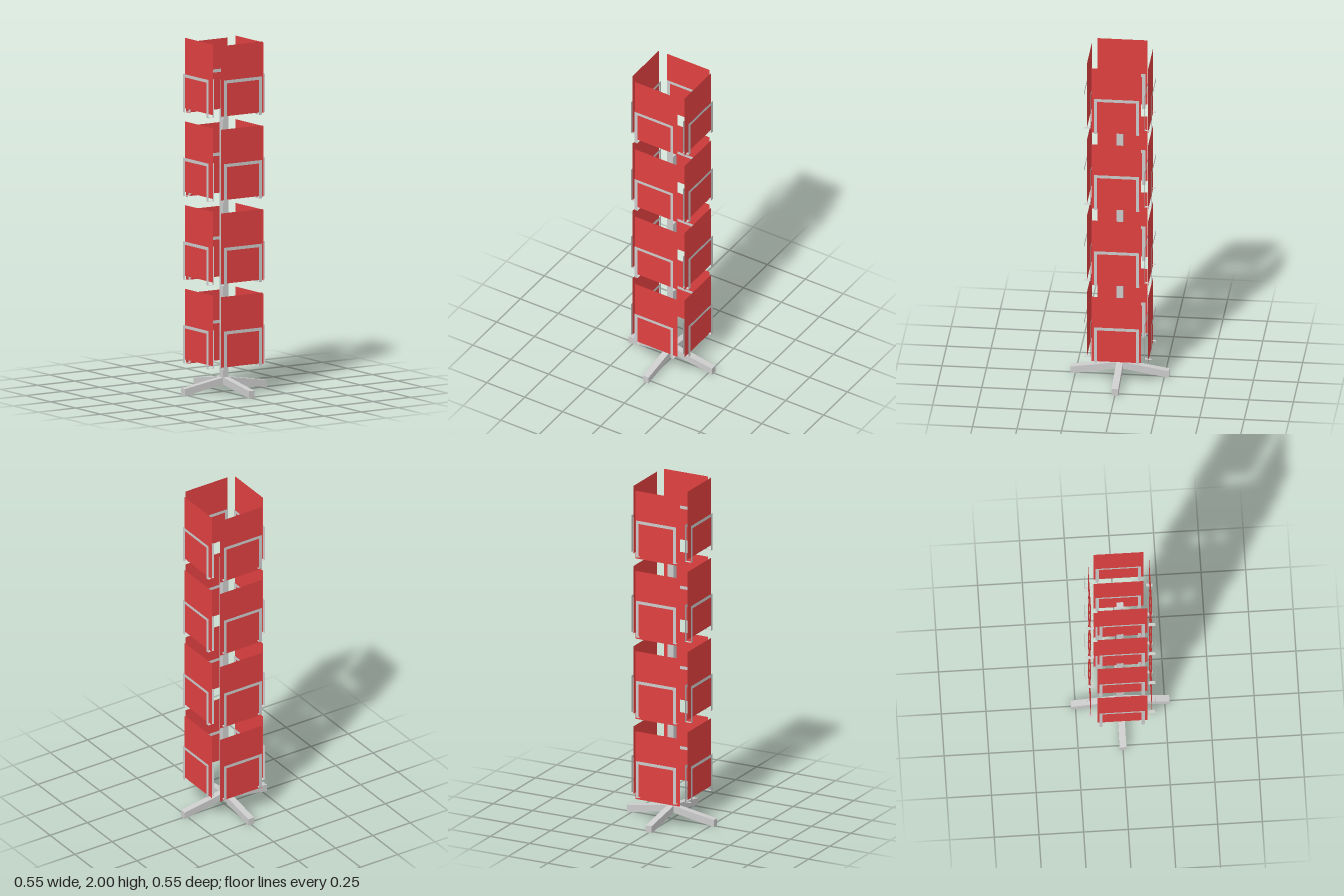
import * as THREE from 'three';

const grey = new THREE.MeshStandardMaterial({ color: 0xcccccc, side: THREE.DoubleSide });
const red = new THREE.MeshStandardMaterial({ color: 0xe04040, side: THREE.DoubleSide });

const TIERS = 4, TIER_STEP = 0.474;
const CLIP_INNER = 0.152, CLIP_OUTER = 0.19, CLIP_HALF = 0.127, BAR = 0.018, CLIP_HEIGHT = 0.217;
const PANEL_W = 0.28, PANEL_H = 0.4;

function addMesh(parent, name, geometry, material, x = 0, y = 0, z = 0) {
  const mesh = new THREE.Mesh(geometry, material);
  mesh.name = name;
  mesh.position.set(x, y, z);
  parent.add(mesh);
  return mesh;
}

// Flat upside-down U standing on y = 0
function clipFrameGeometry() {
  const a = CLIP_HALF, b = CLIP_HALF - BAR, h = CLIP_HEIGHT;
  const points = [[-a, 0], [-b, 0], [-b, h - BAR], [b, h - BAR], [b, 0], [a, 0], [a, h], [-a, h]];
  return new THREE.ShapeGeometry(new THREE.Shape(points.map(p => new THREE.Vector2(...p))));
}

// Shallow roof-shaped beam, drooping from the middle to both tips
function footBeamGeometry() {
  const points = [[-0.276, 0], [0, 0.046], [0.276, 0], [0.276, 0.041], [0, 0.086], [-0.276, 0.041]];
  const shape = new THREE.Shape(points.map(p => new THREE.Vector2(...p)));
  const geometry = new THREE.ExtrudeGeometry(shape, { depth: 0.038, bevelEnabled: false });
  return geometry.translate(0, 0, -0.019);
}

export function createModel() {
  const model = new THREE.Group();
  model.name = 'displayStand';

  // Crossed feet and central post
  const foot = footBeamGeometry();
  addMesh(model, 'footBeam', foot, grey);
  addMesh(model, 'crossFootBeam', foot, grey).rotation.y = Math.PI / 2;
  addMesh(model, 'post', new THREE.BoxGeometry(0.038, 1.54, 0.038), grey, 0, 0.83, 0);

  // Each side's panel sits a little differently in its clip
  const sides = [
    { name: 'front', panelX: 0.003, panelY: 0.172 },
    { name: 'left', panelX: -0.003, panelY: 0.16 },
    { name: 'back', panelX: 0.001, panelY: 0.147 },
    { name: 'right', panelX: 0.004, panelY: 0.18 },
  ];

  const frame = clipFrameGeometry();
  const hook = new THREE.PlaneGeometry(BAR, CLIP_OUTER - CLIP_INNER).rotateX(-Math.PI / 2);
  const panel = new THREE.PlaneGeometry(PANEL_W, PANEL_H);
  const middle = (CLIP_INNER + CLIP_OUTER) / 2;

  for (let tier = 0; tier < TIERS; tier++) {
    sides.forEach((side, i) => {
      const holder = new THREE.Group();
      holder.name = side.name + 'Holder';
      holder.rotation.y = i * Math.PI / 2;
      const y = tier * TIER_STEP, clipY = y + 0.16;

      // Sheet held between two frames
      addMesh(holder, 'panel', panel, red, side.panelX, y + side.panelY + PANEL_H / 2 - 0.002, middle);
      addMesh(holder, 'outerClipFrame', frame, grey, 0, clipY, CLIP_OUTER);
      addMesh(holder, 'innerClipFrame', frame, grey, 0, clipY, CLIP_INNER);

      // Hooks joining the frames under the sheet
      for (const s of [-1, 1]) {
        addMesh(holder, 'clipHook', hook, grey, s * (CLIP_HALF - BAR / 2), clipY, middle);
      }
      model.add(holder);
    });
  }
  return model;
}
